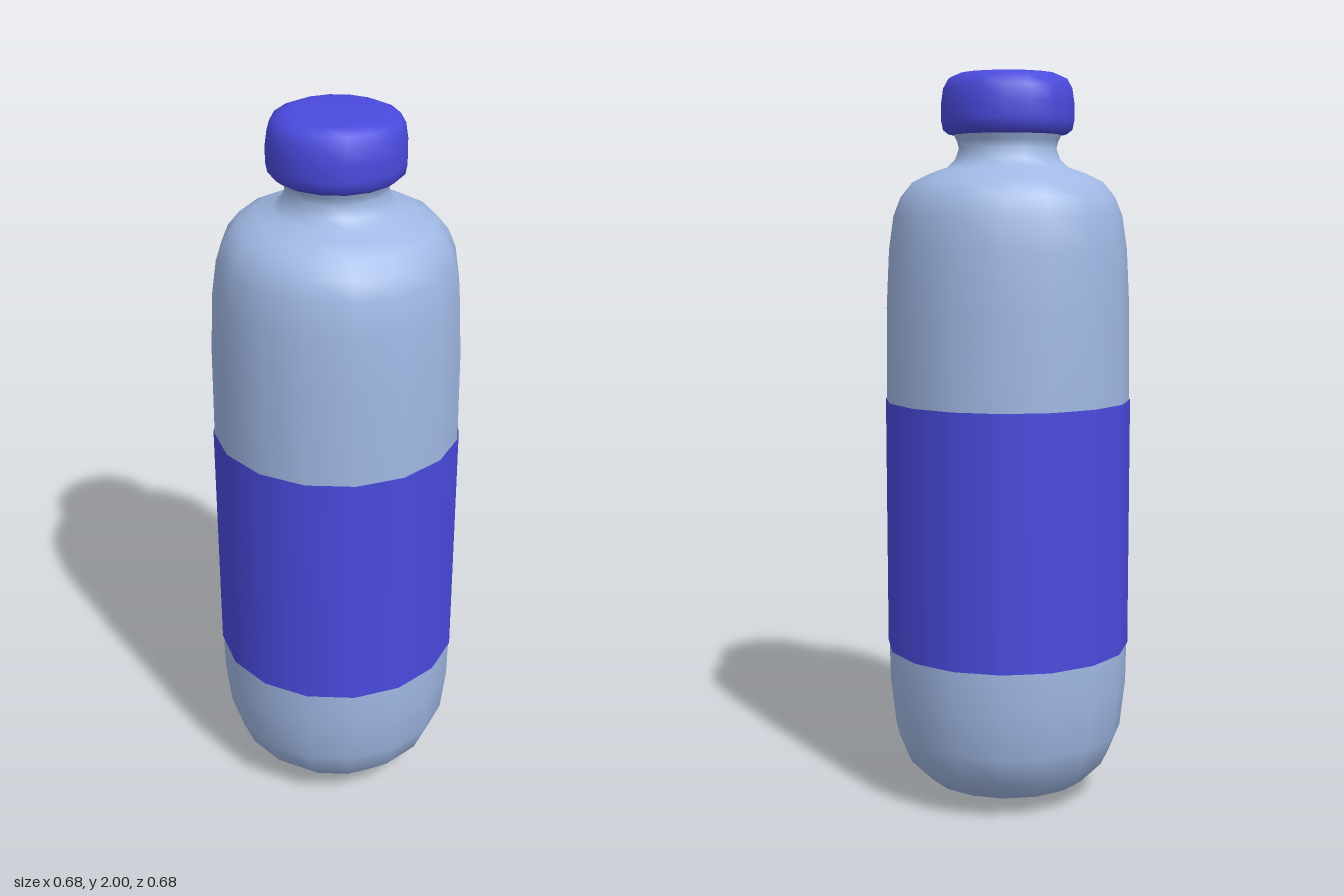
import * as THREE from 'three';

const SIDES = 16;

// Smooth 16-sided turned part from [radius, height] pairs, listed bottom to top
function turned(name, color, profile) {
  const points = profile.map(([r, y]) => new THREE.Vector2(r, y));
  const material = new THREE.MeshStandardMaterial({ color, side: THREE.DoubleSide });
  const mesh = new THREE.Mesh(new THREE.LatheGeometry(points, SIDES), material);
  mesh.name = name;
  return mesh;
}

export function createModel() {
  const group = new THREE.Group();
  group.name = 'bottle';

  // Rounded base, straight wall, shoulder and flared neck
  group.add(turned('body', 0xa0b8e4, [
    [0, 0], [0.13, 0.015], [0.225, 0.05], [0.285, 0.11], [0.318, 0.19],
    [0.333, 0.32], [0.335, 0.43], [0.335, 1.12], [0.333, 1.37],
    [0.325, 1.53], [0.312, 1.62], [0.292, 1.67], [0.26, 1.71],
    [0.21, 1.735], [0.165, 1.75], [0.143, 1.77], [0.132, 1.80],
    [0.137, 1.82], [0.15, 1.845],
  ]));

  // Label wrapped round the middle
  group.add(turned('label', 0x4a4ade, [[0.338, 0.43], [0.338, 1.12]]));

  // Screw cap with soft edges and a closed underside
  group.add(turned('cap', 0x4a4ade, [
    [0, 1.84], [0.135, 1.835], [0.16, 1.838], [0.175, 1.85], [0.18, 1.875],
    [0.18, 1.92], [0.174, 1.96], [0.16, 1.985], [0.13, 1.998], [0.10, 2], [0, 2],
  ]));

  return group;
}
